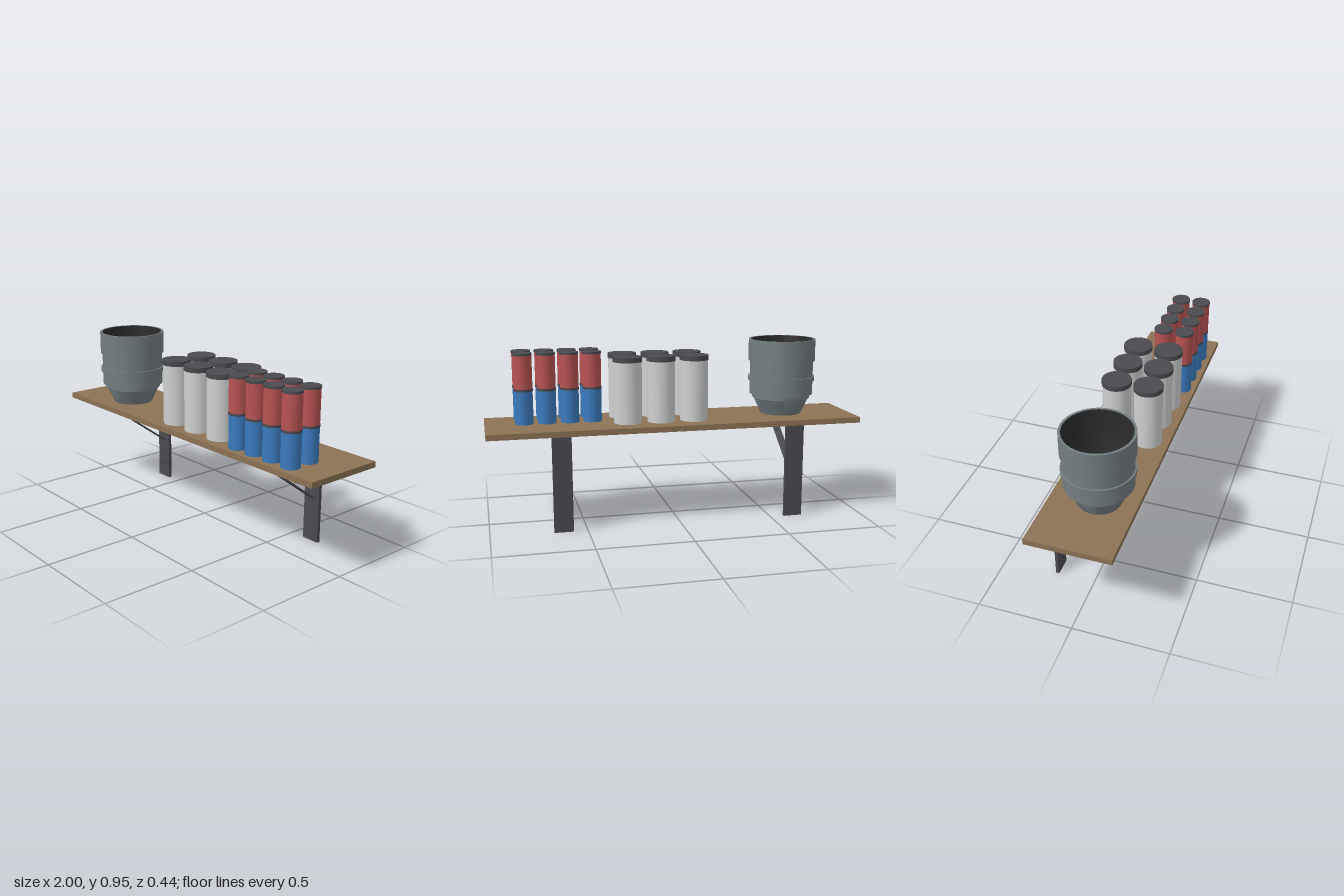
import * as THREE from 'three';
import { toCreasedNormals } from 'three/addons/utils/BufferGeometryUtils.js';

const material = (name, color) => {
  const m = new THREE.MeshStandardMaterial({ color });
  m.name = name;
  return m;
};

export function createModel() {
  const wood = material('wood', 0x8b7355);
  const darkMetal = material('dark metal', 0x4a4a4f);
  const white = material('off white', 0xcecfcf);
  const blue = material('blue', 0x3a7abd);
  const red = material('red', 0xb85252);
  const potGrey = material('pot grey', 0x737d81);
  const potInside = material('pot inside', 0x2b2b2b);

  const model = new THREE.Group();
  model.name = 'stockedShelf';
  const shelfTop = 0.533;

  const add = (parent, name, geometry, mat, x = 0, y = 0, z = 0) => {
    const mesh = new THREE.Mesh(geometry, mat);
    mesh.name = name;
    mesh.position.set(x, y, z);
    parent.add(mesh);
    return mesh;
  };
  const group = (name, x, y, z) => {
    const g = new THREE.Group();
    g.name = name;
    g.position.set(x, y, z);
    model.add(g);
    return g;
  };
  // Upright cylinder between two heights
  const drum = (parent, name, r, y0, y1, mat) =>
    add(parent, name, new THREE.CylinderGeometry(r, r, y1 - y0, 32), mat, 0, (y0 + y1) / 2, 0);

  // Shelf board
  add(model, 'shelfBoard', new THREE.BoxGeometry(2, 0.03, 0.437), wood, 0, 0.518, 0.001);

  // Wall brackets: upright, arm, diagonal brace and raised slots
  for (const x of [-0.626, 0.624]) {
    const bracket = group('bracket', x, 0, 0);
    add(bracket, 'upright', new THREE.BoxGeometry(0.1, 0.503, 0.018), darkMetal, 0, 0.2515, -0.205);
    add(bracket, 'arm', new THREE.BoxGeometry(0.04, 0.007, 0.365), darkMetal, 0, 0.4995, -0.028);
    const dy = 0.257, dz = 0.352;
    const brace = add(bracket, 'brace',
      new THREE.BoxGeometry(0.04, 0.006, Math.hypot(dy, dz)), darkMetal, 0, 0.367, -0.021);
    brace.rotation.x = -Math.atan2(dy, dz);
    for (let i = 0; i < 6; i++) {
      for (const side of [-1, 1]) {
        add(bracket, 'slot', new THREE.BoxGeometry(0.008, 0.028, 0.004), darkMetal,
          side * 0.018, 0.085 + i * 0.072, -0.196);
      }
    }
  }

  // White canisters, two rows of three
  for (const z of [-0.064, 0.106]) {
    for (const x of [-0.103, 0.077, 0.257]) {
      const can = group('whiteCanister', x, shelfTop, z);
      drum(can, 'canisterBody', 0.0745, 0, 0.324, white);
      drum(can, 'canisterLid', 0.077, 0.324, 0.35, darkMetal);
    }
  }

  // Stacked small tins, two rows of four
  for (const z of [0.027, 0.146]) {
    for (let i = 0; i < 4; i++) {
      const stack = group('tinStack', 0.433 + i * 0.1205, shelfTop, z);
      drum(stack, 'lowerTin', 0.049, 0, 0.175, blue);
      drum(stack, 'lowerLid', 0.051, 0.175, 0.187, darkMetal);
      drum(stack, 'upperTin', 0.049, 0.187, 0.361, red);
      drum(stack, 'upperLid', 0.051, 0.361, 0.373, darkMetal);
    }
  }

  // Stepped pot: outer shell and dark hollow interior
  const lathe = (pts) => toCreasedNormals(
    new THREE.LatheGeometry(pts.map(([r, y]) => new THREE.Vector2(r, y)), 40), 0.5);
  const pot = group('pot', -0.627, 0, 0.025);
  add(pot, 'potShell', lathe([
    [0, 0.533], [0.112, 0.533], [0.153, 0.622], [0.158, 0.622], [0.158, 0.643],
    [0.174, 0.643], [0.174, 0.718], [0.183, 0.718], [0.183, 0.742], [0.174, 0.742],
    [0.174, 0.827], [0.183, 0.827], [0.183, 0.946], [0.17, 0.946],
  ]), potGrey);
  add(pot, 'potInterior', lathe([
    [0.17, 0.946], [0.168, 0.827], [0.155, 0.64], [0.1, 0.545], [0, 0.545],
  ]), potInside);

  return model;
}
